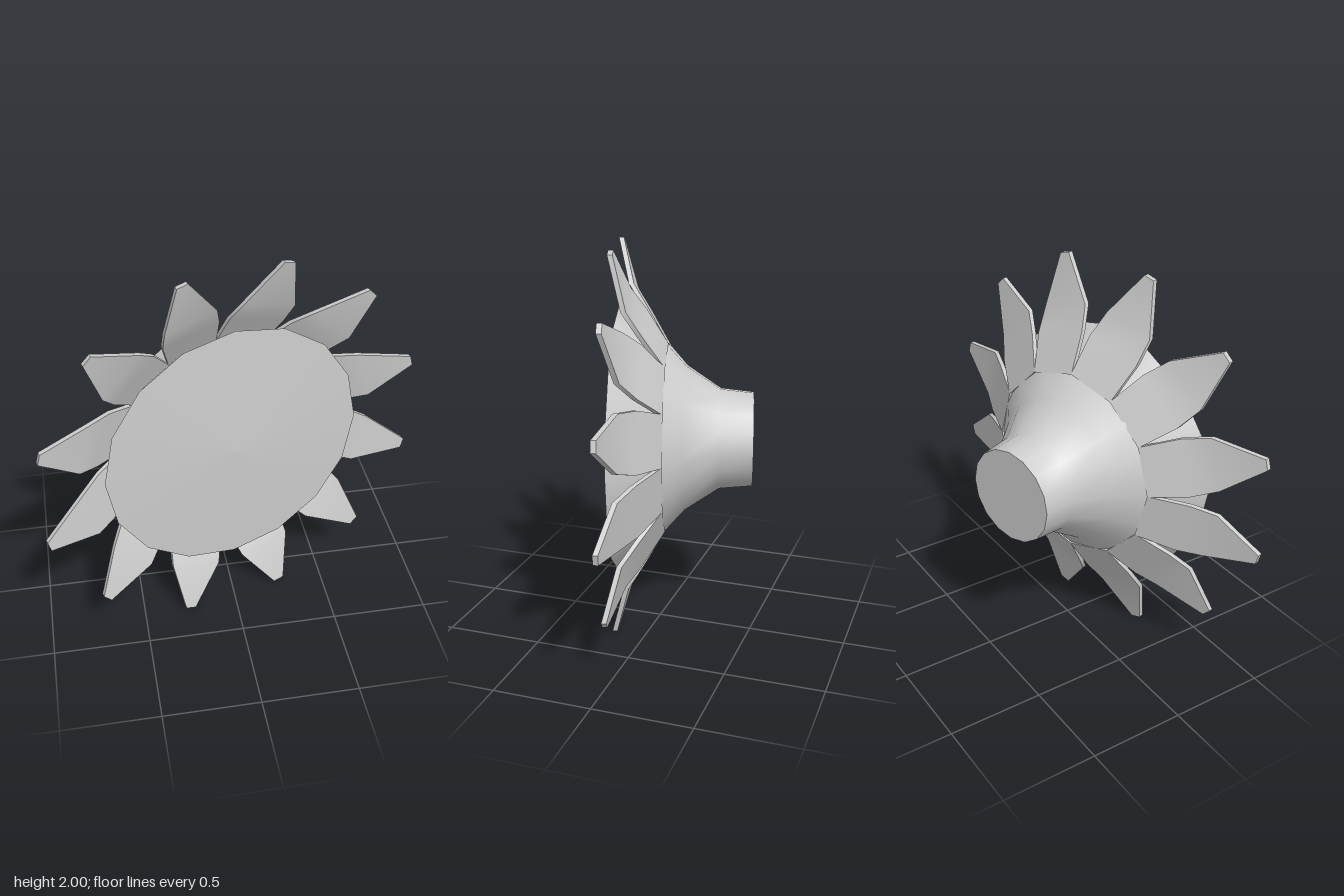
import * as THREE from 'three';

const SIDES = 16;
const PETALS = 12;
const THICKNESS = 0.026;

// Petal stations from base to tip: [radius, half width, depth of back face]
const STATIONS = [
  [0.48, 0.13, -0.25],
  [0.66, 0.15, -0.145],
  [0.78, 0.137, -0.07],
  [1.027, 0.028, -0.004],
];

// A box with its rows moved onto the stations, so the petal bends and tapers
function petalGeometry() {
  const last = STATIONS.length - 1;
  const geometry = new THREE.BoxGeometry(1, 1, 1, 1, last, 1);
  const p = geometry.attributes.position;
  for (let i = 0; i < p.count; i++) {
    const [radius, half, depth] = STATIONS[Math.round((p.getY(i) + 0.5) * last)];
    p.setXYZ(i, Math.sign(p.getX(i)) * half, radius, depth + (p.getZ(i) > 0 ? THICKNESS : 0));
  }
  geometry.computeVertexNormals();
  return geometry;
}

export function createModel() {
  const model = new THREE.Group();
  model.name = 'flowerHead';
  const grey = new THREE.MeshStandardMaterial({ color: 0xcccccc });
  grey.name = 'grey';

  // Everything is built along z, then turned slightly to the side
  const head = new THREE.Group();
  head.name = 'head';
  head.position.set(0, 1, 0.22);
  head.rotation.y = THREE.MathUtils.degToRad(14.7);
  model.add(head);

  const add = (name, geometry) => {
    const mesh = new THREE.Mesh(geometry, grey);
    mesh.name = name;
    head.add(mesh);
    return mesh;
  };

  // Flared body from the stem end to the front rim
  const profile = [[0.245, -0.69], [0.262, -0.52], [0.378, -0.345], [0.49, -0.245], [0.685, 0]]
    .map(([r, z]) => new THREE.Vector2(r, z));
  add('flaredBody', new THREE.LatheGeometry(profile, SIDES).rotateX(Math.PI / 2));

  // Shallow front face and flat stem end
  add('frontFace', new THREE.ConeGeometry(0.685, 0.03, SIDES, 1, true)
    .rotateX(Math.PI / 2).translate(0, 0, 0.015));
  add('stemEnd', new THREE.CircleGeometry(0.245, SIDES)
    .rotateY(Math.PI).translate(0, 0, -0.69));

  // Ring of petals
  const petal = petalGeometry();
  for (let i = 0; i < PETALS; i++) {
    add('petal', petal).rotation.z = ((i + 0.5) / PETALS) * Math.PI * 2;
  }

  return model;
}
